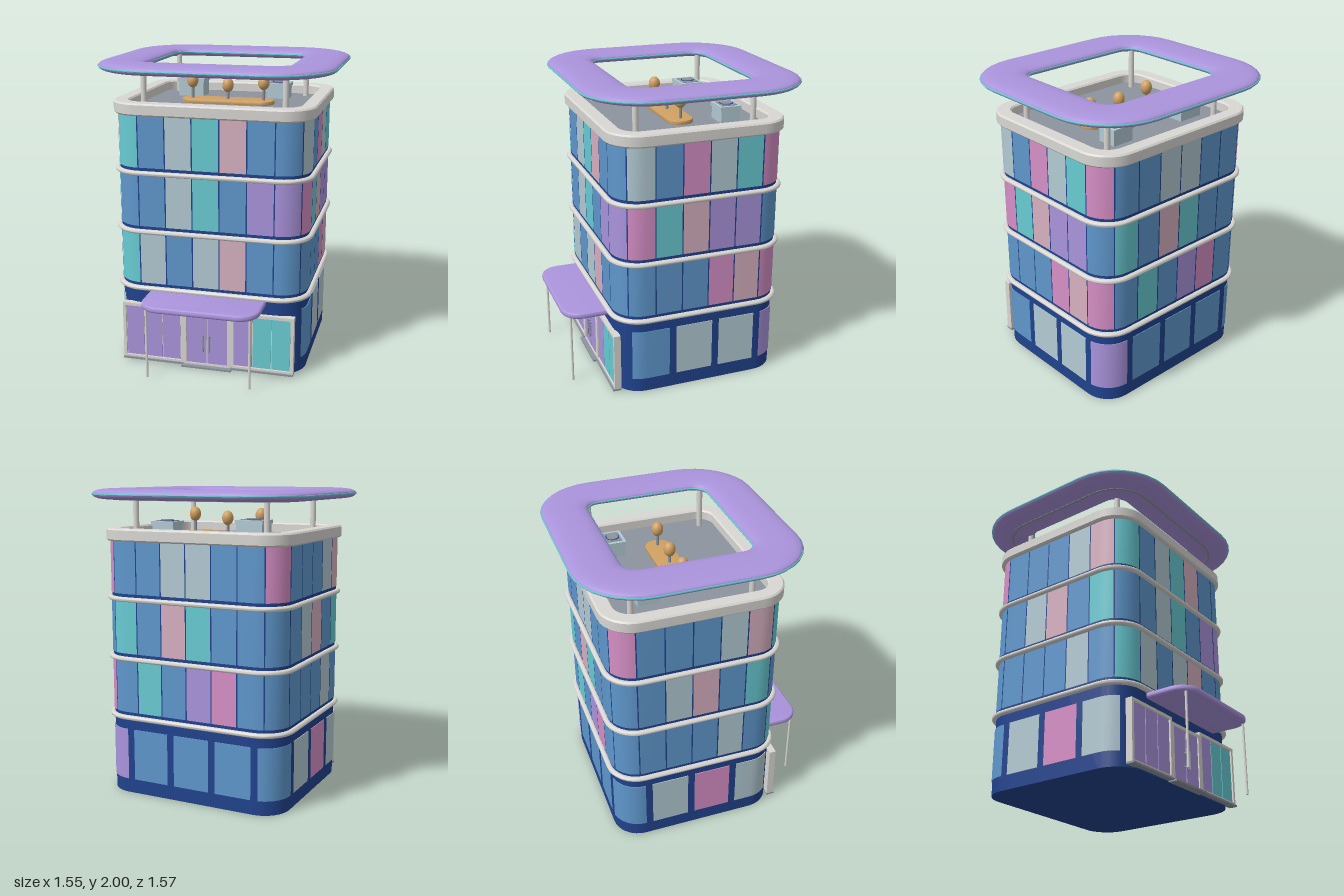
import * as THREE from 'three';
import { toCreasedNormals } from 'three/addons/utils/BufferGeometryUtils.js';

const paint = (name, color) => {
  const m = new THREE.MeshStandardMaterial({ color });
  m.name = name;
  return m;
};

// Rounded rectangle outline walked from the front left, round by the right side
function outline(hx, hz, r) {
  const a = hx - r, b = hz - r, q = r * Math.PI / 2;
  const lengths = [2 * a, q, 2 * b, q, 2 * a, q, 2 * b, q];
  const corners = [[a, b], [a, -b], [-a, -b], [-a, b]];
  const total = lengths.reduce((x, y) => x + y, 0);
  const at = (s) => {
    s = THREE.MathUtils.euclideanModulo(s, total);
    let k = 0;
    while (k < 7 && s > lengths[k]) s -= lengths[k++];
    const j = k >> 1, arc = k % 2;
    const th = j * Math.PI / 2 + (arc ? s / r : 0);
    const n = [Math.sin(th), Math.cos(th)];
    const c = corners[arc ? j : (j + 3) % 4], t = arc ? 0 : s;
    return { x: c[0] + n[0] * r + n[1] * t, z: c[1] + n[1] * r - n[0] * t, n };
  };
  // Sample positions: both ends plus every corner step between them
  const stations = (s0, s1, steps = 8) => {
    const list = [s0, s1];
    for (let turn = 0; turn < 2; turn++) {
      let s = turn * total;
      lengths.forEach((len, k) => {
        if (k % 2) for (let i = 0; i <= steps; i++) list.push(s + len * i / steps);
        s += len;
      });
    }
    return list.filter((s) => s >= s0 && s <= s1).sort((x, y) => x - y)
      .filter((s, i, l) => !i || s - l[i - 1] > 1e-5);
  };
  return { at, stations, total };
}

// Sweep a closed section of [outward, y] points along part of an outline
function sweep(path, section, s0 = 0, s1 = path.total, crease = 0.6) {
  const pos = [], n = section.length;
  const rows = path.stations(s0, s1).map((s) => {
    const p = path.at(s);
    return section.map(([o, y]) => [p.x + p.n[0] * o, y, p.z + p.n[1] * o]);
  });
  for (let i = 0; i < rows.length - 1; i++) for (let j = 0; j < n; j++) {
    const k = (j + 1) % n;
    const A = rows[i][j], B = rows[i + 1][j], C = rows[i + 1][k], D = rows[i][k];
    pos.push(...A, ...B, ...C, ...A, ...C, ...D);
  }
  const g = new THREE.BufferGeometry();
  g.setAttribute('position', new THREE.Float32BufferAttribute(pos, 3));
  return toCreasedNormals(g, crease);
}

// Solid slab with the plan of an outline
function slab(path, y0, y1, bevel = 0) {
  const pts = path.stations(0, path.total - 1e-4).map((s) => {
    const p = path.at(s);
    return new THREE.Vector2(p.x - p.n[0] * bevel, -p.z + p.n[1] * bevel);
  });
  const g = new THREE.ExtrudeGeometry(new THREE.Shape(pts), {
    depth: y1 - y0 - 2 * bevel, bevelEnabled: bevel > 0,
    bevelSize: bevel, bevelThickness: bevel, bevelSegments: 4,
  });
  g.rotateX(-Math.PI / 2).translate(0, y0 + bevel, 0);
  return toCreasedNormals(g, 0.6);
}

const box = (o0, o1, y0, y1) => [[o1, y0], [o1, y1], [o0, y1], [o0, y0]];
const oval = (o, y, w, h, count = 16, power = 1) => Array.from({ length: count }, (_, i) => {
  const t = i / count * Math.PI * 2, c = Math.cos(t), s = Math.sin(t);
  const f = (v) => Math.sign(v) * Math.abs(v) ** power;
  return [o + w * f(c), y + h * f(s)];
});

export function createModel() {
  const model = new THREE.Group();
  model.name = 'building';
  const navy = paint('navy wall', 0x20428c), blue = paint('blue glass', 0x5f97cc);
  const pale = paint('pale glass', 0xb3cad4), teal = paint('teal glass', 0x68cbd3);
  const lilac = paint('lilac', 0xaa94dc), pink = paint('pink glass', 0xd68fc6);
  const rose = paint('rose glass', 0xd6b0c0), white = paint('off white trim', 0xd8d7d3);
  const tan = paint('tan', 0xd0a163), grey = paint('roof grey', 0x8d949e);
  const glass = { b: blue, p: pale, t: teal, l: lilac, k: pink, r: rose };

  const add = (name, geometry, material, x = 0, y = 0, z = 0, parent = model) => {
    const m = new THREE.Mesh(geometry, material);
    m.name = name;
    m.position.set(x, y, z);
    parent.add(m);
    return m;
  };
  const block = (name, mat, x0, x1, y0, y1, z0, z1, parent) => add(name,
    new THREE.BoxGeometry(x1 - x0, y1 - y0, z1 - z0), mat,
    (x0 + x1) / 2, (y0 + y1) / 2, (z0 + z1) / 2, parent);
  const rod = (name, mat, r, x, y0, y1, z) => add(name,
    new THREE.CylinderGeometry(r, r, y1 - y0, 14), mat, x, (y0 + y1) / 2, z);

  // Tower body, roof deck and parapet
  const cz = -0.067;
  const wall = outline(0.63, 0.557, 0.176);
  add('towerBody', slab(wall, 0, 1.675), navy, 0, 0, cz);
  add('roofDeck', slab(outline(0.6, 0.527, 0.15), 1.67, 1.685), grey, 0, 0, cz);
  add('parapet', sweep(wall, [[0.02, 1.67], [0.03, 1.68], [0.03, 1.74], [0.02, 1.75],
    [-0.06, 1.75], [-0.07, 1.74], [-0.07, 1.67]]), white, 0, 0, cz);

  // Coloured glass panels on three upper floors, starting at the front left
  const floors = [
    [0.553, 0.893, 'pbprbbbbbkrkbtblkbbbbbpbt'],
    [0.945, 1.285, 'bptbllktrllbtbrtbbbbprbtb'],
    [1.335, 1.675, 'bptrbbpbkptkbbppbbkbbbprt'],
  ];
  const step = wall.total / 25;
  floors.forEach(([y0, y1, row], f) => {
    const g = new THREE.Group();
    g.name = 'upperFloor' + (f + 1);
    g.position.z = cz;
    model.add(g);
    [...row].forEach((c, i) => add('glassPanel',
      sweep(wall, box(-0.003, 0.005, y0, y1), i * step + 0.004, (i + 1) * step - 0.004),
      glass[c], 0, 0, 0, g));
    add('floorBand', sweep(wall, oval(0.01, y0 - 0.035, 0.02, 0.016), 0, wall.total, 1), white, 0, 0, 0, g);
  });

  // Ground floor windows round the sides and back
  [...'bpplbbbbpkp'].forEach((c, k) => {
    const mid = wall.total * (0.273 + k / 15);
    add('groundWindow', sweep(wall, box(-0.003, 0.005, 0.095, 0.437), mid - 0.125, mid + 0.125),
      glass[c], 0, 0, cz);
  });

  // Shop fronts either side of the door
  const frame = (name, x0, x1, y0, y1, bar) => {
    const g = new THREE.Group();
    g.name = name;
    model.add(g);
    block('frameLeft', white, x0, x0 + bar, y0, y1, 0.475, 0.52, g);
    block('frameRight', white, x1 - bar, x1, y0, y1, 0.475, 0.52, g);
    block('frameTop', white, x0, x1, y1 - bar, y1, 0.475, 0.52, g);
    block('frameBottom', white, x0, x1, y0, y0 + bar * 0.7, 0.475, 0.52, g);
    return g;
  };
  [[-0.58, [lilac, lilac, lilac]], [0.16, [lilac, teal, teal]]].forEach(([x, mats]) => {
    const g = frame('shopFront', x, x + 0.42, 0.02, 0.41, 0.02);
    block('shopBack', white, x + 0.01, x + 0.41, 0.025, 0.4, 0.476, 0.505, g);
    mats.forEach((m, i) => {
      const px = x + 0.024 + i * 0.126;
      block('shopPane', m, px, px + 0.12, 0.036, 0.388, 0.503, 0.511, g);
    });
    block('shopSill', grey, x, x + 0.42, 0.008, 0.02, 0.475, 0.53, g);
  });

  // Double door with handles and a step
  const door = frame('doorFrame', -0.16, 0.16, 0.012, 0.385, 0.02);
  block('doorBack', white, -0.15, 0.15, 0.015, 0.38, 0.476, 0.507, door);
  for (const s of [-1, 1]) {
    block('doorLeaf', lilac, s * 0.071 - 0.067, s * 0.071 + 0.067, 0.026, 0.363, 0.504, 0.513, door);
    rod('doorHandle', grey, 0.005, s * 0.022, 0.115, 0.235, 0.53);
    for (const y of [0.13, 0.22]) block('handleMount', grey, s * 0.022 - 0.004, s * 0.022 + 0.004, y - 0.004, y + 0.004, 0.51, 0.53, door);
    // Canopy posts
    rod('canopyPost', white, 0.008, s * 0.34, 0, 0.48, 0.739);
  }
  block('doorStep', grey, -0.17, 0.17, 0, 0.013, 0.48, 0.55);
  add('canopy', slab(outline(0.39, 0.243, 0.13), 0.468, 0.508, 0.015), lilac, 0, 0, 0.543);

  // Floating ring over the roof with teal edge strips
  const halo = outline(0.62, 0.56, 0.25);
  add('roofRing', sweep(halo, oval(0, 1.965, 0.15, 0.035, 32, 0.8), 0, halo.total, 1.2), lilac, 0, 0, cz);
  for (const o of [-0.149, 0.149]) {
    add('ringStrip', sweep(halo, oval(o, 1.965, 0.006, 0.006, 8), 0, halo.total, 1.2), teal, 0, 0, cz);
  }
  add('ringUnderStrip', sweep(halo, box(-0.008, 0.008, 1.927, 1.933)), grey, 0, 0, cz);
  for (const x of [-0.463, 0.463]) for (const z of [0.322, -0.455]) {
    rod('ringPost', white, 0.019, x, 1.68, 1.96, z);
  }

  // Rooftop air units with a lip and round fan
  [[-0.315, -0.322, 0.19, 0.155, 1.81], [0.293, -0.346, 0.165, 0.142, 1.79]].forEach(([x, z, w, d, top]) => {
    const g = new THREE.Group();
    g.name = 'airUnit';
    model.add(g);
    block('unitBody', pale, x - w / 2 + 0.006, x + w / 2 - 0.006, 1.68, top - 0.02, z - d / 2 + 0.006, z + d / 2 - 0.006, g);
    block('unitLid', pale, x - w / 2, x + w / 2, top - 0.025, top, z - d / 2, z + d / 2, g);
    block('unitGrille', grey, x - w * 0.36, x + w * 0.36, top - 0.004, top + 0.004, z - d * 0.36, z + d * 0.36, g);
    add('unitFan', new THREE.TorusGeometry(0.042, 0.003, 6, 28).rotateX(Math.PI / 2), navy, x, top + 0.004, z, g);
    add('fanHub', new THREE.CylinderGeometry(0.038, 0.038, 0.008, 24), grey, x, top + 0.006, z, g);
  });

  // Planter pad with three egg shaped lamps on stems
  add('roofPad', slab(outline(0.315, 0.084, 0.08), 1.68, 1.71, 0.004), tan, 0, 0, -0.052);
  [[-0.245, 1.825], [0, 1.802], [0.245, 1.825]].forEach(([x, y]) => {
    rod('lampStem', grey, 0.01, x, 1.7, y, -0.052);
    add('lampHead', new THREE.SphereGeometry(0.038, 24, 16).scale(1, 1.27, 1), tan, x, y, -0.052);
  });
  return model;
}
